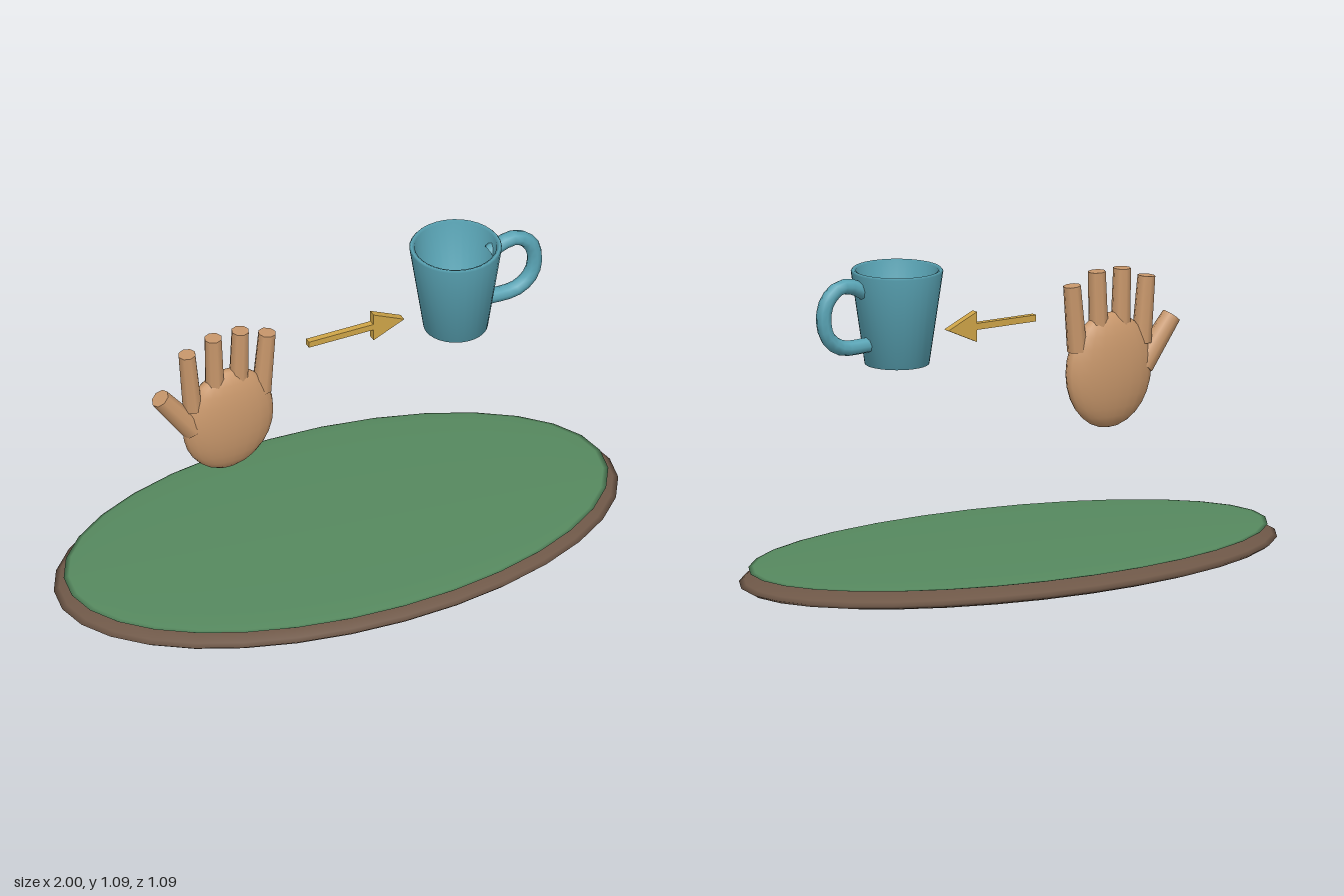
import * as THREE from 'three';

const paint = (color, side = THREE.FrontSide) => new THREE.MeshStandardMaterial({ color, side });

export function createModel() {
  const model = new THREE.Group();
  const skin = paint(0xc8976b);
  const gold = paint(0xcfa548);
  const teal = paint(0x5aa5b6, THREE.DoubleSide);

  function add(parent, name, geometry, material) {
    const mesh = new THREE.Mesh(geometry, material);
    mesh.name = name;
    parent.add(mesh);
    return mesh;
  }
  function addGroup(name) {
    const group = new THREE.Group();
    group.name = name;
    model.add(group);
    return group;
  }
  function ellipsoid(parent, name, radii, centre, material, w = 32, h = 16) {
    const mesh = add(parent, name, new THREE.SphereGeometry(1, w, h), material);
    mesh.scale.set(...radii);
    mesh.position.set(...centre);
  }

  // Oval base with a green top layer
  ellipsoid(model, 'baseRim', [1, 0.057, 0.545], [0, 0.06, 0], paint(0x6f5848));
  ellipsoid(model, 'baseTop', [0.965, 0.016, 0.525], [0, 0.105, 0], paint(0x56895f));

  // Open hand
  const hand = addGroup('hand');
  ellipsoid(hand, 'palm', [0.165, 0.195, 0.06], [-0.395, 0.652, 0], skin, 20, 14);

  // Tapered digit from its base point to its tip, in the plane z = 0
  function digit(name, base, tip, rBase, rTip) {
    const a = new THREE.Vector3(...base, 0);
    const b = new THREE.Vector3(...tip, 0);
    const dir = b.clone().sub(a);
    const mesh = add(hand, name, new THREE.CylinderGeometry(rTip, rBase, dir.length(), 8), skin);
    mesh.position.copy(a).add(b).multiplyScalar(0.5);
    mesh.quaternion.setFromUnitVectors(new THREE.Vector3(0, 1, 0), dir.normalize());
  }
  const fingers = [
    [[-0.525, 0.73], [-0.545, 0.953]],
    [[-0.442, 0.76], [-0.449, 0.99]],
    [[-0.357, 0.76], [-0.35, 0.99]],
    [[-0.272, 0.73], [-0.252, 0.953]],
  ];
  fingers.forEach(([base, tip], i) => digit('finger' + (i + 1), base, tip, 0.034, 0.03));
  digit('thumb', [-0.525, 0.65], [-0.643, 0.805], 0.041, 0.033);

  // Flat arrow pointing from the hand to the mug
  const arrow = addGroup('arrow');
  arrow.position.set(0, 0.864, 0);
  const shaft = add(arrow, 'arrowShaft', new THREE.BoxGeometry(0.24, 0.022, 0.022), gold);
  shaft.position.x = 0.016;
  const headShape = new THREE.Shape();
  headShape.moveTo(0.131, -0.051);
  headShape.lineTo(0.243, 0);
  headShape.lineTo(0.131, 0.051);
  headShape.closePath();
  const head = add(arrow, 'arrowHead',
    new THREE.ExtrudeGeometry(headShape, { depth: 0.027, bevelEnabled: false }), gold);
  head.position.z = -0.0135;

  // Hollow mug turned from one wall profile
  const mug = addGroup('mug');
  mug.position.x = 0.437;
  const profile = [
    [0, 0.777], [0.107, 0.777], [0.153, 1.09], [0.147, 1.097],
    [0.136, 1.092], [0.095, 0.81], [0, 0.8],
  ].map(([r, y]) => new THREE.Vector2(r, y));
  add(mug, 'mugBody', new THREE.LatheGeometry(profile, 32), teal);

  // Looped handle on the model's left
  const path = new THREE.CatmullRomCurve3([
    [0.125, 1.03], [0.17, 1.055], [0.225, 1.06], [0.274, 1.02], [0.289, 0.96],
    [0.272, 0.895], [0.22, 0.856], [0.1, 0.853],
  ].map(([x, y]) => new THREE.Vector3(x, y, 0)));
  add(mug, 'mugHandle', new THREE.TubeGeometry(path, 16, 0.026, 8), teal);

  return model;
}
